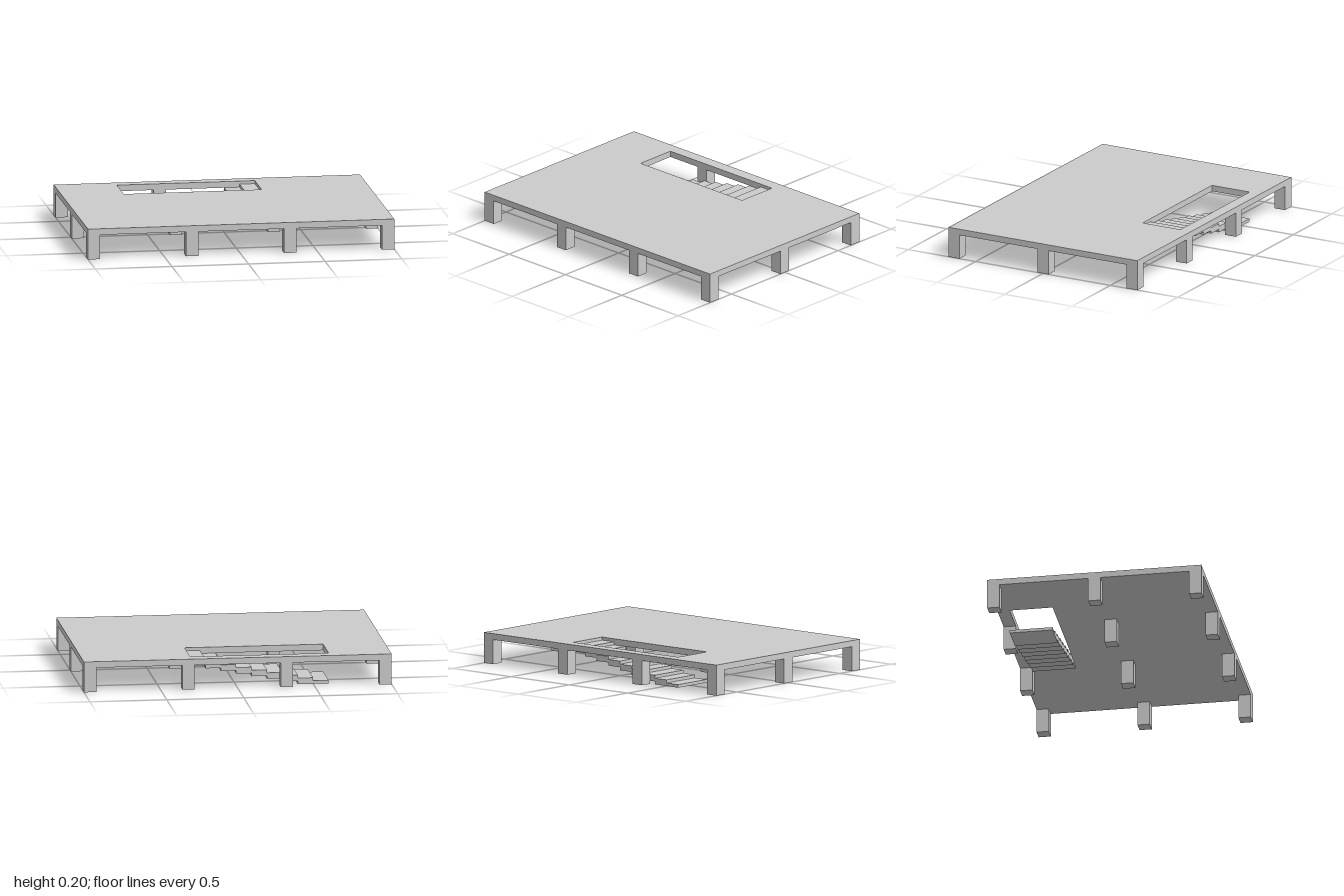
import * as THREE from 'three';

export function createModel() {
  const model = new THREE.Group();
  model.name = 'raisedPlatform';
  const material = new THREE.MeshStandardMaterial({ color: 0xcccccc, flatShading: true });

  const slabBottom = 0.16, slabTop = 0.2;
  const well = { x0: -0.6, x1: 0.3, z0: -0.62, z1: -0.34 };

  // Axis-aligned box given by its lower and upper corners
  function addBox(parent, name, [x0, y0, z0], [x1, y1, z1]) {
    const mesh = new THREE.Mesh(new THREE.BoxGeometry(x1 - x0, y1 - y0, z1 - z0), material);
    mesh.position.set((x0 + x1) / 2, (y0 + y1) / 2, (z0 + z1) / 2);
    mesh.name = name;
    parent.add(mesh);
  }

  // Rectangle outline on the floor plan (shape y is -z)
  const rectangle = (path, x0, x1, z0, z1) => path
    .moveTo(x0, -z1).lineTo(x1, -z1).lineTo(x1, -z0).lineTo(x0, -z0).closePath();

  // Floor slab with the stairwell opening
  const plan = new THREE.Shape();
  rectangle(plan, -1, 1, -0.7, 0.7);
  const opening = new THREE.Path();
  rectangle(opening, well.x0, well.x1, well.z0, well.z1);
  plan.holes.push(opening);
  const slabGeometry = new THREE.ExtrudeGeometry(plan, { depth: slabTop - slabBottom, bevelEnabled: false });
  slabGeometry.rotateX(-Math.PI / 2).translate(0, slabBottom, 0);
  const slab = new THREE.Mesh(slabGeometry, material);
  slab.name = 'floorSlab';
  model.add(slab);

  // Grid of square columns
  const columns = new THREE.Group();
  columns.name = 'columns';
  model.add(columns);
  const half = 0.04;
  for (const x of [-0.96, -0.32, 0.32, 0.96]) {
    for (const z of [-0.66, 0, 0.66]) {
      addBox(columns, 'column', [x - half, 0, z - half], [x + half, slabBottom, z + half]);
    }
  }

  // Stairs rising towards +x; the lowest tread rests on the ground
  const stairs = new THREE.Group();
  stairs.name = 'stairs';
  model.add(stairs);
  const stepCount = 9, rise = 0.02, run = (well.x1 - well.x0) / stepCount;
  for (let i = 0; i < stepCount; i++) {
    const x = well.x0 + i * run, top = (i + 1) * rise;
    addBox(stairs, 'step', [x, Math.max(0, top - 2 * rise), well.z0], [x + run, top, well.z1]);
  }

  return model;
}
